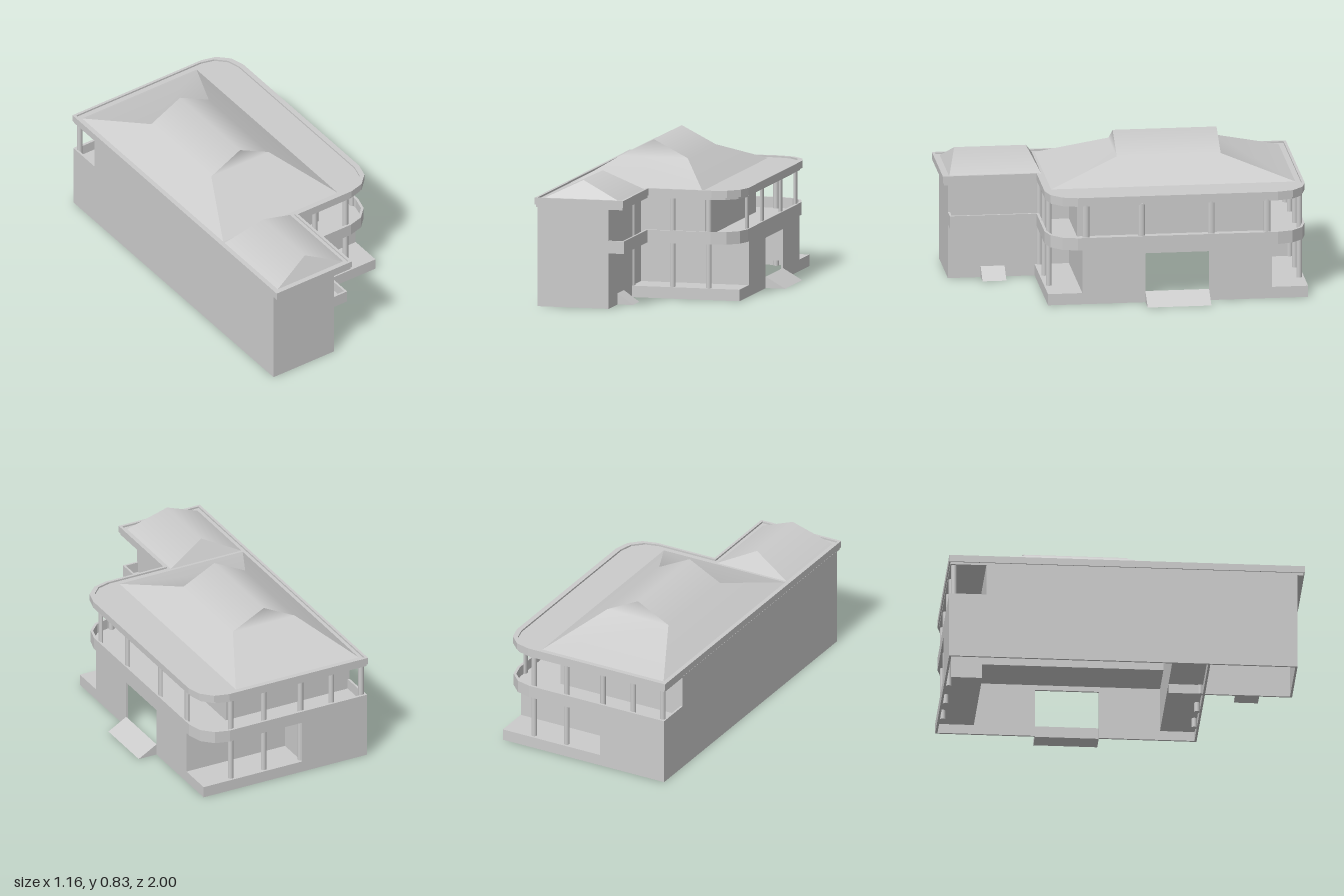
import * as THREE from 'three';

const mat = new THREE.MeshStandardMaterial({ color: 0xcccccc, side: THREE.DoubleSide });
const T = 0.012; // wall thickness

export function createModel() {
  const house = new THREE.Group();

  const add = (name, geo) => {
    const m = new THREE.Mesh(geo, mat);
    m.name = name;
    house.add(m);
  };
  // box given by its limits
  const box = (name, x0, x1, y0, y1, z0, z1) =>
    add(name, new THREE.BoxGeometry(x1 - x0, y1 - y0, z1 - z0)
      .translate((x0 + x1) / 2, (y0 + y1) / 2, (z0 + z1) / 2));
  // thin axis-aligned walls along a plan polyline of [x, z]
  const walls = (name, pts, y0, y1) => {
    for (let i = 0; i < pts.length - 1; i++) {
      const [a, b] = [pts[i], pts[i + 1]], h = T / 2;
      box(name, Math.min(a[0], b[0]) - h, Math.max(a[0], b[0]) + h, y0, y1,
        Math.min(a[1], b[1]) - h, Math.max(a[1], b[1]) + h);
    }
  };
  // plan shape of [x, z] points raised from y0 to y1
  const toShape = (pts) => new THREE.Shape(pts.map(([x, z]) => new THREE.Vector2(x, -z)));
  const slab = (name, pts, y0, y1, hole) => {
    const s = toShape(pts);
    if (hole) s.holes.push(toShape(hole));
    add(name, new THREE.ExtrudeGeometry(s, { depth: y1 - y0, bevelEnabled: false })
      .rotateX(-Math.PI / 2).translate(0, y0, 0));
  };
  // front, rounded right side and back of the plan, inset by d
  const rounded = (xStart, xEnd, right, d) => {
    const r = 0.17, cx = right - r, pts = [[xStart, 0.47 - d]];
    for (const [cz, a0] of [[0.47 - r, Math.PI / 2], [-1 + r, 0]])
      for (let i = 0; i <= 3; i++) {
        const a = a0 - (i / 3) * Math.PI / 2;
        pts.push([cx + (r - d) * Math.cos(a), cz + (r - d) * Math.sin(a)]);
      }
    pts.push([xEnd, -1 + d]);
    return pts;
  };

  // outer walls of the double-height shell, open below
  walls('outerWall', [[-0.166, 0.27], [-0.166, 0.954], [-0.568, 0.954], [-0.568, -0.785]], 0, 0.572);
  walls('backWall', [[-0.568, -0.785], [-0.568, -0.994], [-0.166, -0.994]], 0, 0.32);

  // ground floor walls, with the entrance in the right wall
  walls('porchWall', [[0.461, 0.27], [-0.568, 0.27]], 0.055, 0.32);
  walls('porchWall', [[-0.166, -0.994], [-0.166, -0.79], [0.461, -0.79]], 0.055, 0.32);
  walls('rightWall', [[0.461, 0.27], [0.461, -0.074]], 0, 0.32);
  walls('rightWall', [[0.461, -0.79], [0.461, -0.446]], 0, 0.32);
  box('doorLintel', 0.455, 0.467, 0.285, 0.32, -0.44, -0.08);

  // porch platforms, open below
  box('frontPorchFloor', -0.568, 0.467, 0.055, 0.065, 0.27, 0.47);
  walls('frontPorchSkirt', [[-0.568, 0.464], [0.461, 0.464], [0.461, 0.27]], 0, 0.065);
  box('backPorchFloor', -0.166, 0.467, 0.055, 0.065, -1, -0.79);
  walls('backPorchSkirt', [[-0.166, -0.994], [0.461, -0.994], [0.461, -0.79]], 0, 0.065);

  // entrance ramps
  const ramp = (name, x0, x1, z0, z1) => add(name, new THREE.ExtrudeGeometry(
    new THREE.Shape([[x0, 0], [x1, 0], [x0, 0.065]].map((p) => new THREE.Vector2(...p))),
    { depth: z1 - z0, bevelEnabled: false }).translate(0, 0, z0));
  ramp('mainRamp', 0.467, 0.58, -0.44, -0.08);
  ramp('wingRamp', -0.162, -0.07, 0.64, 0.775);

  // terrace floor around the shell, with its parapets
  slab('terraceFloor', [...rounded(-0.075, -0.57, 0.467, 0.005), [-0.57, -0.785], [0.21, -0.785],
    [0.21, 0.27], [-0.165, 0.27], [-0.165, 0.955], [-0.075, 0.955]], 0.314, 0.325);
  slab('terraceParapet', [...rounded(-0.07, -0.574, 0.468, 0),
    ...rounded(-0.07, -0.574, 0.468, 0.015).reverse()], 0.314, 0.385);
  walls('terraceEndParapet', [[-0.568, -0.994], [-0.568, -0.785]], 0.314, 0.385);
  walls('wingParapet', [[-0.162, 0.954], [-0.076, 0.954], [-0.076, 0.464]], 0.314, 0.385);

  // set-back upper walls
  walls('upperWall', [[-0.568, 0.27], [0.208, 0.27], [0.208, -0.785], [-0.568, -0.785]], 0.314, 0.572);

  // columns
  const column = (x, z, y0, r = 0.016, sx = 1) => add('column',
    new THREE.CylinderGeometry(r, r, 0.572 - y0, 16)
      .scale(sx, 1, 1).translate(x, (0.572 + y0) / 2, z));
  for (const x of [-0.164, 0.07, 0.28]) {
    column(x, 0.443, 0);
    column(x, -0.972, 0);
  }
  for (const x of [-0.36, -0.55]) column(x, -0.972, 0.32);
  for (const z of [0.254, -0.06, -0.455, -0.77]) column(0.45, z, 0.32, 0.019, 0.55);

  // roof slab with raised rim
  const roofPlan = (d) => [...rounded(-0.064 - d, -0.58 + d, 0.473 - d, d),
    [-0.58 + d, 1 - d], [-0.064 - d, 1 - d]];
  slab('roofSoffit', roofPlan(0.007), 0.566, 0.581);
  slab('roofDeck', roofPlan(0.008), 0.58, 0.61);
  slab('roofRim', roofPlan(0), 0.58, 0.62, roofPlan(0.015));

  // pitched roofs: rows of [x, y, zBack, zFront] from left eave over the ridge to right eave
  const pitchedRoof = (name, rows) => {
    const n = rows.length, pos = [], nor = [], idx = [];
    // smooth side slopes, with normals following the profile
    rows.forEach(([x, y, zb, zf], i) => {
      const a = rows[Math.max(i - 1, 0)], b = rows[Math.min(i + 1, n - 1)];
      const nrm = new THREE.Vector3(a[1] - b[1], b[0] - a[0], 0).normalize().toArray();
      pos.push(x, y, zf, x, y, zb);
      nor.push(...nrm, ...nrm);
      const k = 2 * i;
      if (i < n - 1) idx.push(k, k + 2, k + 1, k + 1, k + 2, k + 3);
    });
    const slopes = new THREE.BufferGeometry();
    slopes.setAttribute('position', new THREE.Float32BufferAttribute(pos, 3));
    slopes.setAttribute('normal', new THREE.Float32BufferAttribute(nor, 3));
    slopes.setIndex(idx);
    add(name + 'Slopes', slopes);
    // hipped ends running smoothly into the gables
    for (const front of [true, false]) {
      const end = new THREE.BufferGeometry(), tri = [];
      const face = (a, b, c) => tri.push(...(front ? [a, b, c] : [b, a, c]));
      for (let i = 0, j = n - 1; i < j; i++, j--) {
        face(i, j, i + 1);
        if (i + 1 < j - 1) face(j, j - 1, i + 1);
      }
      end.setAttribute('position', new THREE.Float32BufferAttribute(
        rows.flatMap(([x, y, zb, zf]) => [x, y, front ? zf : zb]), 3));
      end.setIndex(tri);
      end.computeVertexNormals();
      add(name + (front ? 'FrontHip' : 'BackHip'), end);
    }
  };
  pitchedRoof('mainRoof', [
    [-0.545, 0.61, -0.955, 0.425], [-0.35, 0.735, -0.557, 0.03], [-0.153, 0.835, -0.557, 0.03],
    [0.043, 0.735, -0.557, 0.03], [0.238, 0.61, -0.955, 0.425]]);
  pitchedRoof('wingRoof', [
    [-0.545, 0.61, 0.44, 0.96], [-0.321, 0.717, 0.5, 0.905], [-0.097, 0.61, 0.44, 0.96]]);

  return house;
}
